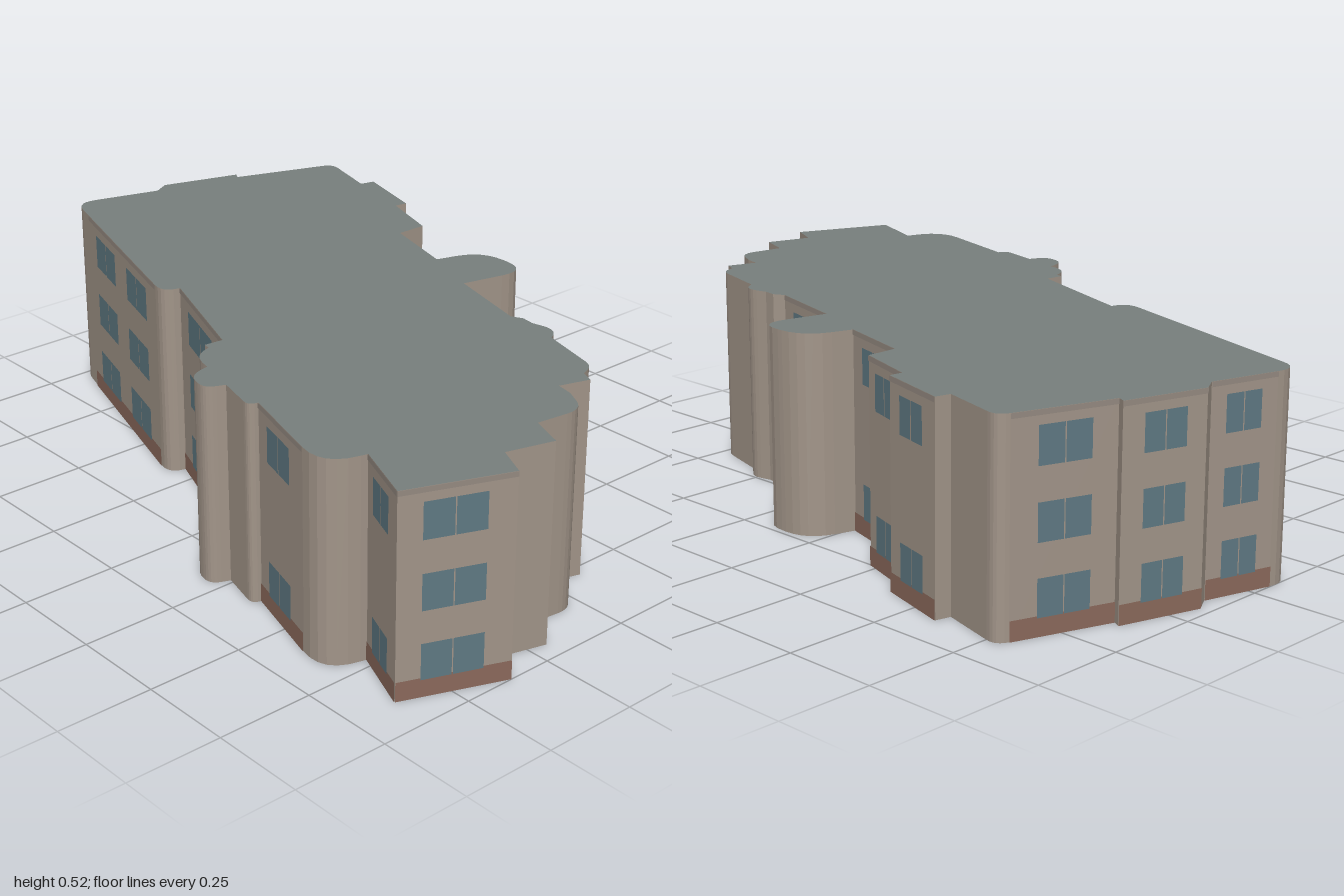
import * as THREE from 'three';
import { mergeGeometries } from 'three/addons/utils/BufferGeometryUtils.js';

const HEIGHT = 0.525;
const material = (color, side = THREE.FrontSide) => new THREE.MeshStandardMaterial({ color, side });

// Footprint as [x, z, optional corner rounding], front first, then end, back and other end
const front = [
  [-1.014, 0.117, 0.06], [-0.315, 0.337, 0.05], [-0.305, 0.285], [0.03, 0.41], [0.025, 0.46],
  [0.045, 0.465], [0.06, 0.52, 0.05], [0.13, 0.535], [0.145, 0.6, 0.04], [0.22, 0.615, 0.03],
  [0.24, 0.565], [0.36, 0.597, 0.025], [0.365, 0.57], [0.7, 0.67, 0.1], [0.725, 0.555], [0.895, 0.625],
];
const leftEnd = [
  [0.998, 0.365], [0.915, 0.325], [0.95, 0.2], [0.86, 0.165], [0.877, 0.035, 0.045],
  [0.8, -0.005], [0.755, -0.015], [0.78, -0.095], [0.745, -0.11], [0.73, -0.155, 0.03],
];
const back = [
  [0.55, -0.205], [0.525, -0.25, 0.04], [0.455, -0.235], [0.42, -0.24], [0.39, -0.225], [0.155, -0.29],
  [0.2, -0.482, 0.08], [0.025, -0.487, 0.08], [-0.015, -0.355], [-0.225, -0.415], [-0.225, -0.5],
  [-0.395, -0.555], [-0.39, -0.59], [-0.59, -0.645], [-0.6, -0.605],
];
const rightEnd = [[-0.785, -0.656, 0.035], [-0.885, -0.37], [-0.905, -0.38], [-0.97, -0.165], [-0.945, -0.12]];

// Replaces each rounded corner by a short curve
function roundCorners(corners) {
  const n = corners.length;
  return corners.flatMap(([x, z, r], i) => {
    const p = new THREE.Vector2(x, z);
    if (!r) return [p];
    const towards = ([a, b]) => new THREE.Vector2(a, b).sub(p).setLength(r).add(p);
    const curve = new THREE.QuadraticBezierCurve(towards(corners[(i + n - 1) % n]), p, towards(corners[(i + 1) % n]));
    return curve.getPoints(6);
  });
}

// Upright panel on the line a-b, between fractions t0-t1 and heights y0-y1, pushed outwards
function panel(a, b, t0, t1, y0, y1, offset = 0) {
  const dx = b[0] - a[0], dz = b[1] - a[1];
  const length = Math.hypot(dx, dz), t = (t0 + t1) / 2;
  const geometry = new THREE.PlaneGeometry(length * (t1 - t0), y1 - y0);
  geometry.rotateY(Math.atan2(-dz, dx));
  return geometry.translate(
    a[0] + dx * t - (dz / length) * offset, (y0 + y1) / 2, a[1] + dz * t + (dx / length) * offset);
}

// Facades: ends of the wall, window spans along it, storeys with windows, start of the plinth
const ALL = [0, 1, 2], OUTER = [0, 2];
const facades = [
  { a: [-0.957, 0.135], b: [-0.363, 0.322], spans: [[0.207, 0.47], [0.63, 0.89]], rows: ALL, start: 0.095 },
  { a: [-0.305, 0.285], b: [0.03, 0.41], spans: [[0.224, 0.776]], rows: ALL },
  { a: [0.365, 0.57], b: [0.604, 0.641], spans: [[0.23, 0.735]], rows: OUTER },
  { a: [0.725, 0.555], b: [0.895, 0.625], spans: [[0.235, 0.765]], rows: OUTER },
  { a: [0.895, 0.625], b: [0.998, 0.365], spans: [[0.21, 0.75]], rows: ALL },
  { a: [0.39, -0.225], b: [0.155, -0.29], spans: [[0.24, 0.73]], rows: ALL },
  { a: [-0.015, -0.355], b: [-0.225, -0.415], spans: [[0.25, 0.75]], rows: OUTER },
  { a: [-0.225, -0.5], b: [-0.395, -0.555], spans: [[0.23, 0.77]], rows: OUTER },
  { a: [-0.39, -0.59], b: [-0.59, -0.645], spans: [[0.25, 0.75]], rows: OUTER },
  { a: [-0.797, -0.623], b: [-0.885, -0.37], spans: [[0.25, 0.75]], rows: ALL },
  { a: [-0.905, -0.38], b: [-0.97, -0.165], spans: [[0.25, 0.75]], rows: ALL },
  { a: [-0.945, -0.12], b: [-0.997, 0.06], spans: [[0.22, 0.75]], rows: ALL },
];

export function createModel() {
  const group = new THREE.Group();
  const add = (name, geometry, mat) => {
    const mesh = new THREE.Mesh(geometry, mat);
    mesh.name = name;
    group.add(mesh);
  };
  const outline = roundCorners([...front, ...leftEnd, ...back, ...rightEnd]);

  // Outer walls, open underneath
  const walls = outline.map((p, i) => {
    const q = outline[(i + 1) % outline.length];
    return panel([p.x, p.y], [q.x, q.y], 0, 1, 0, HEIGHT);
  });
  add('walls', mergeGeometries(walls), material(0xa3968a, THREE.DoubleSide));

  // Flat roof
  const roof = new THREE.ShapeGeometry(new THREE.Shape(outline.map((p) => new THREE.Vector2(p.x, -p.y))));
  roof.rotateX(-Math.PI / 2).translate(0, HEIGHT, 0);
  add('roof', roof, material(0x78807d, THREE.DoubleSide));

  // Plinths, eaves bands and two-pane windows
  const plinths = [], bands = [], panes = [];
  for (const { a, b, spans, rows, start = 0 } of facades) {
    plinths.push(panel(a, b, start, 1, 0, 0.05, 0.002));
    bands.push(panel(a, b, start, 1, 0.512, HEIGHT, 0.002));
    const gap = 0.0015 / Math.hypot(b[0] - a[0], b[1] - a[1]);
    for (const [t0, t1] of spans) {
      const mid = (t0 + t1) / 2;
      for (const row of rows) {
        const y = 0.046 + row * 0.176;
        panes.push(panel(a, b, t0, mid - gap, y, y + 0.093, 0.004));
        panes.push(panel(a, b, mid + gap, t1, y, y + 0.093, 0.004));
      }
    }
  }
  add('plinth', mergeGeometries(plinths), material(0x8c6a5c));
  add('eavesBand', mergeGeometries(bands), material(0x968b82));
  add('windows', mergeGeometries(panes), material(0x607a84));
  return group;
}
